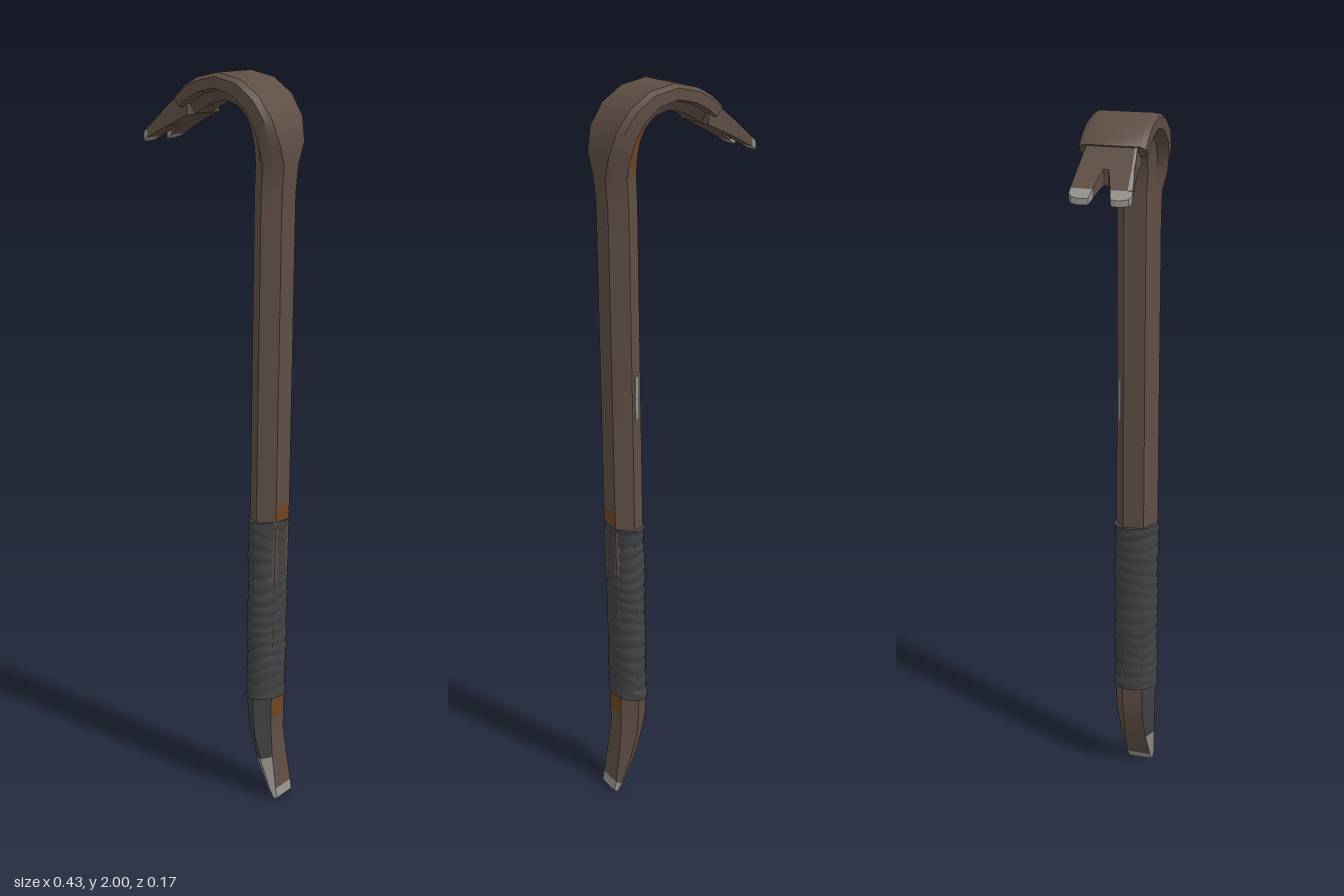
import * as THREE from 'three';
import { toCreasedNormals } from 'three/addons/utils/BufferGeometryUtils.js';

const mat = (name, color, side = THREE.FrontSide) => {
  const m = new THREE.MeshStandardMaterial({ color, side });
  m.name = name;
  return m;
};

const lerp = THREE.MathUtils.lerp;

// Half cross-section [outward offset, z]: hexagon (k = 0) blending to a T-shaped strap (k = 1)
function section({ h, w, f = 0.5, k = 0 }) {
  const hex = [[1, f], [0.5, (1 + f) / 2], [0, 1], [-0.5, (1 + f) / 2], [-1, f]];
  const strap = [[1, 0.072], [0.72, 0.086], [-0.1, 0.086], [-0.25, 0.054], [-1, 0.036]];
  const half = hex.map(([n, z], i) => [lerp(n, strap[i][0], k) * h, lerp(z * w, strap[i][1], k)]);
  return [...half, ...half.slice().reverse().map(([n, z]) => [n, -z])];
}

// Loft the sections along a path in the xy plane; pick(ring, side) gives a material index
function loft(stations, pick, materialCount) {
  const pos = [];
  const N = 10, last = stations.length - 1;
  stations.forEach((s, i) => {
    const a = stations[Math.max(i - 1, 0)], b = stations[Math.min(i + 1, last)];
    const t = new THREE.Vector2(b.x - a.x, b.y - a.y).normalize();
    for (const [n, z] of section(s)) pos.push(s.x + t.y * n, s.y - t.x * n, z);
  });
  const buckets = Array.from({ length: materialCount }, () => []);
  for (let i = 0; i < last; i++) {
    for (let j = 0; j < N; j++) {
      const a = i * N + j, b = i * N + (j + 1) % N;
      buckets[pick(i, j)].push(b, a, a + N, b, a + N, b + N);
    }
  }
  // End caps
  [0, last].forEach((i) => {
    const c = pos.length / 3;
    pos.push(stations[i].x, stations[i].y, 0);
    for (let j = 0; j < N; j++) {
      const a = i * N + j, b = i * N + (j + 1) % N;
      buckets[pick(i, j)].push(c, ...(i ? [b, a] : [a, b]));
    }
  });
  const geo = new THREE.BufferGeometry();
  geo.setAttribute('position', new THREE.Float32BufferAttribute(pos, 3));
  geo.setIndex(buckets.flat());
  let start = 0;
  buckets.forEach((b, m) => {
    if (b.length) geo.addGroup(start, b.length, m);
    start += b.length;
  });
  return toCreasedNormals(geo, 0.6);
}

// Claw plate outlined in (reach, z), bent down and thinned toward the tip
function clawPiece(points, d0 = 0, d1 = 1) {
  const shape = new THREE.Shape(points.map(([u, z]) => new THREE.Vector2(u, z)));
  const geo = new THREE.ExtrudeGeometry(shape, { depth: 1, bevelEnabled: false });
  const p = geo.attributes.position;
  for (let i = 0; i < p.count; i++) {
    const u = p.getX(i), z = p.getY(i), t = (u - 0.07) / 0.148;
    const mid = lerp(1.925, 1.82, t) + 0.004 * Math.sin(t * Math.PI);
    const half = lerp(0.036, 0.008, t);
    p.setXYZ(i, -u, mid + (lerp(d0, d1, p.getZ(i)) * 2 - 1) * half, z);
  }
  return toCreasedNormals(geo, 0.6);
}

export function createModel() {
  const steel = mat('paintedSteel', 0x5f4e44);
  const tape = mat('darkTape', 0x414243);
  const bare = mat('bareMetal', 0x96938e);
  const rust = mat('rust', 0x6e4522);
  const group = new THREE.Group();
  group.name = 'pryBar';
  const add = (name, geo, material) => {
    const m = new THREE.Mesh(geo, material);
    m.name = name;
    group.add(m);
    return m;
  };

  // Bar: chisel tail, straight shaft and curved neck
  const stations = [
    { x: 0.205, y: 0.004, h: 0.008, w: 0.04, f: 0.85 },
    { x: 0.195, y: 0.03, h: 0.013, w: 0.045, f: 0.8 },
    { x: 0.166, y: 0.12, h: 0.028, w: 0.053, f: 0.62 },
    { x: 0.15, y: 0.19, h: 0.036, w: 0.058 },
    { x: 0.145, y: 0.24, h: 0.04, w: 0.06 },
    { x: 0.144, y: 0.32, h: 0.042, w: 0.061 },
    { x: 0.152, y: 0.8, h: 0.043, w: 0.061 },
    { x: 0.153, y: 0.87, h: 0.043, w: 0.061 },
    { x: 0.161, y: 1.7, h: 0.043, w: 0.061 },
    { x: 0.166, y: 1.775, h: 0.045, w: 0.062 },
    { x: 0.166, y: 1.825, h: 0.047, w: 0.064, k: 0.55 },
    { x: 0.154, y: 1.875, h: 0.046, w: 0.066, k: 0.85 },
    { x: 0.128, y: 1.918, h: 0.042, w: 0.066, k: 1 },
    { x: 0.086, y: 1.951, h: 0.038, w: 0.066, k: 1 },
    { x: 0.03, y: 1.965, h: 0.035, w: 0.066, k: 1 },
    { x: -0.025, y: 1.953, h: 0.034, w: 0.066, k: 1 },
    { x: -0.06, y: 1.934, h: 0.033, w: 0.066, k: 1 },
    { x: -0.086, y: 1.914, h: 0.03, w: 0.066, k: 1 },
  ];
  const pick = (i, j) => {
    if (i === 0) return 2; // worn chisel edge
    if (i === 1 && j < 4) return 2;
    if (i < 5 && j < 4) return 1;
    if ((i === 4 || i === 6) && j === 9) return 3;
    if (i >= 9 && i < 12 && j === 5) return 3;
    return 0;
  };
  add('bar', loft(stations, pick, 4), [steel, tape, bare, rust]);

  // Grip wrap: ridged oval sleeve with slanting, uneven windings
  const wrap = new THREE.CylinderGeometry(1, 1, 0.52, 28, 96);
  const p = wrap.attributes.position;
  for (let i = 0; i < p.count; i++) {
    const x = p.getX(i), y = p.getY(i), z = p.getZ(i);
    const a = Math.atan2(z, x);
    const phase = y * 88 + 1.1 * Math.sin(a + y * 9) + 0.7 * Math.sin(2 * a - y * 23);
    const end = Math.abs(y) > 0.235 ? 0.03 : 0;
    const r = 1 + 0.055 * Math.abs(Math.sin(phase)) + 0.02 * Math.sin(y * 31 + a) + end;
    const slant = 0.006 * Math.sin(a + 0.8);
    p.setXYZ(i, x * r * 0.047 + 0.147 + y * 0.008, y + 0.56 + slant, z * r * 0.061);
  }
  wrap.computeVertexNormals();
  add('gripWrap', wrap, tape);

  // Forked claw
  const edge = [[0.07, 0.068], [0.1, 0.065], [0.15, 0.072], [0.197, 0.079]];
  const notch = [[0.197, 0.022], [0.165, 0.011], [0.154, 0.006]];
  const flip = (pts) => pts.map(([u, z]) => [u, -z]).reverse();
  const half = [...edge, ...notch];
  add('claw', clawPiece([...flip(half), ...half].reverse()), steel);

  // Worn claw tips, mirrored
  const tip = [[0.197, 0.022], [0.216, 0.028], [0.218, 0.05], [0.214, 0.073], [0.206, 0.08], [0.197, 0.079]];
  add('leftClawTip', clawPiece(tip), bare);
  add('rightClawTip', clawPiece(flip(tip)), bare);
  add('clawEdgeWear', clawPiece([[0.1, 0.059], [0.15, 0.064], [0.197, 0.066], [0.197, 0.079], [0.15, 0.072], [0.1, 0.065]], 0.97, 1.03), bare);

  // Paint chip on a shaft face
  const chip = add('paintChip', new THREE.BoxGeometry(0.022, 0.12, 0.004), bare);
  chip.position.set(0.1565 - 0.0225, 1.19, -0.0455);
  chip.rotation.y = Math.PI + Math.atan2(0.0305, 0.043);

  return group;
}
